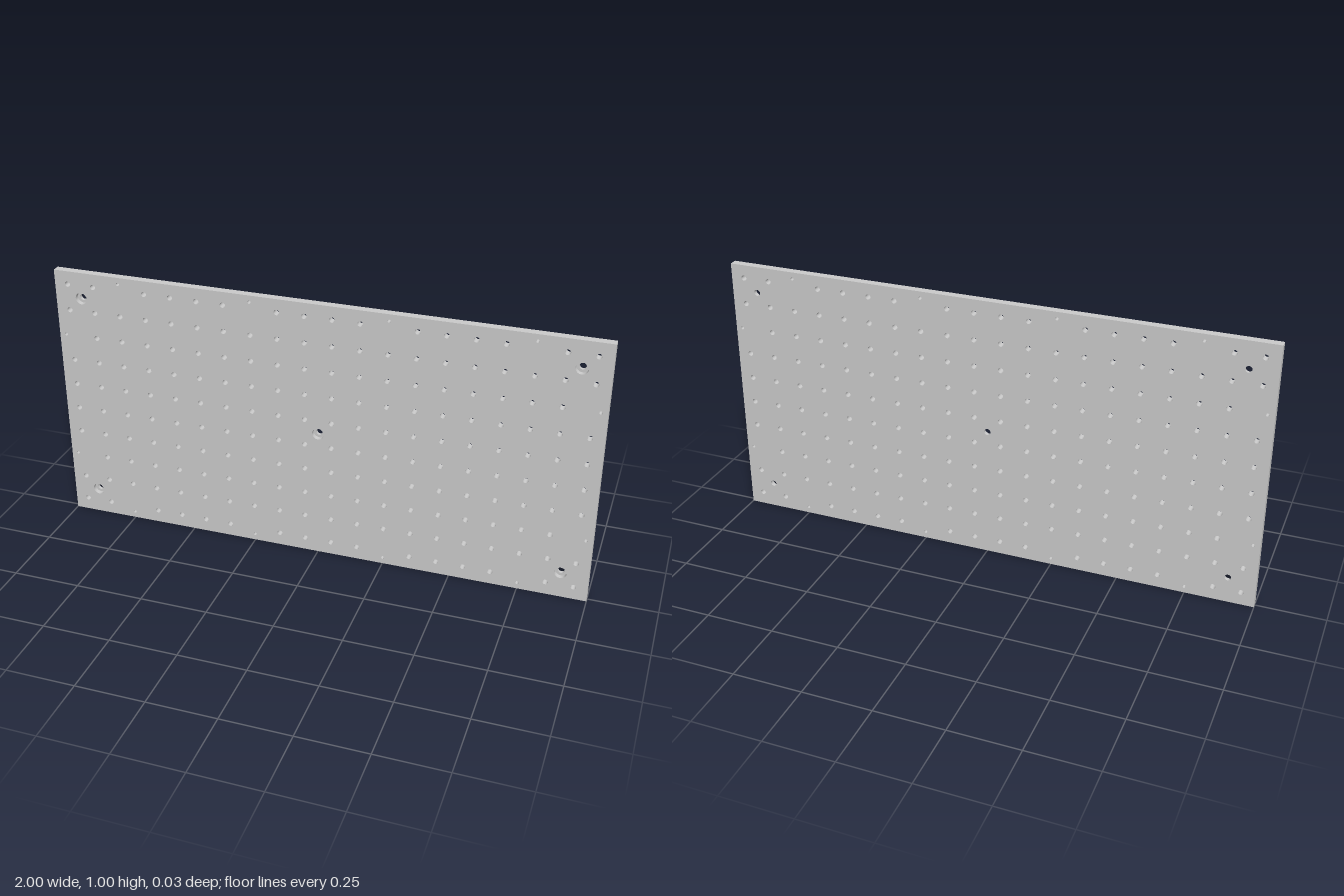
import * as THREE from 'three';
import { mergeGeometries } from 'three/addons/utils/BufferGeometryUtils.js';

const W = 2, H = 1, T = 0.03;         // plate size
const SEG = 20;                       // sides per hole
const R_GRID = 0.01, R_SMALL = 0.006, R_BOLT = 0.012, R_BORE = 0.022;
const BORE_DEPTH = 0.018;

// Hole positions: small edge holes replace the grid hole next to them
function holeLayout() {
  const grid = [], small = [];
  for (let i = 0; i < 20; i++) {
    for (let j = 0; j < 10; j++) {
      const x = -0.95 + i * 0.1, y = 0.05 + j * 0.1;
      const onTopOrBottom = (j === 0 || j === 9) && [2, 7, 12, 17].includes(i);
      const onSide = (i === 0 || i === 19) && [2, 7].includes(j);
      if (onTopOrBottom) small.push([x, j ? 0.975 : 0.025]);
      else if (onSide) small.push([i ? 0.975 : -0.975, y]);
      else grid.push([x, y]);
    }
  }
  const bolts = [[0, 0.5], [-0.9, 0.1], [0.9, 0.1], [-0.9, 0.9], [0.9, 0.9]];
  return { grid, small, bolts };
}

// Flat plate outline pierced by groups of [centres, radius]
function piercedFace(groups) {
  const shape = new THREE.Shape([[-1, 0], [1, 0], [1, H], [-1, H]].map(p => new THREE.Vector2(...p)));
  for (const [centres, r] of groups) {
    for (const [cx, cy] of centres) {
      const ring = [];
      for (let k = 0; k < SEG; k++) {
        const a = -k / SEG * Math.PI * 2;
        ring.push(new THREE.Vector2(cx + r * Math.cos(a), cy + r * Math.sin(a)));
      }
      shape.holes.push(new THREE.Path(ring));
    }
  }
  return new THREE.ShapeGeometry(shape);
}

// Open tubes lining the holes between two depths
function holeWalls(centres, r, z0, z1) {
  return mergeGeometries(centres.map(([x, y]) =>
    new THREE.CylinderGeometry(r, r, z1 - z0, SEG, 1, true)
      .rotateX(Math.PI / 2).translate(x, y, (z0 + z1) / 2)));
}

export function createModel() {
  const group = new THREE.Group();
  const outer = new THREE.MeshStandardMaterial({ color: 0xcccccc });
  const inner = new THREE.MeshStandardMaterial({ color: 0xcccccc, side: THREE.BackSide });
  const add = (name, geometry, material = outer) => {
    const mesh = new THREE.Mesh(geometry, material);
    mesh.name = name;
    group.add(mesh);
  };
  const { grid, small, bolts } = holeLayout();
  const front = T / 2, back = -T / 2, floor = front - BORE_DEPTH;

  // Front and back faces of the plate
  add('frontFace', piercedFace([[grid, R_GRID], [small, R_SMALL], [bolts, R_BORE]]).translate(0, 0, front));
  add('backFace', piercedFace([[grid, R_GRID], [small, R_SMALL], [bolts, R_BOLT]])
    .rotateY(Math.PI).translate(0, 0, back));

  // Four edges around the plate
  add('plateEdges', mergeGeometries([
    new THREE.PlaneGeometry(W, T).rotateX(-Math.PI / 2).translate(0, H, 0),
    new THREE.PlaneGeometry(W, T).rotateX(Math.PI / 2),
    new THREE.PlaneGeometry(T, H).rotateY(Math.PI / 2).translate(W / 2, H / 2, 0),
    new THREE.PlaneGeometry(T, H).rotateY(-Math.PI / 2).translate(-W / 2, H / 2, 0),
  ]));

  // Through holes
  add('gridHoles', holeWalls(grid, R_GRID, back, front), inner);
  add('edgeHoles', holeWalls(small, R_SMALL, back, front), inner);

  // Counterbored mounting holes, recessed from the front
  add('mountingHoles', holeWalls(bolts, R_BOLT, back, floor), inner);
  add('counterbores', holeWalls(bolts, R_BORE, floor, front), inner);
  add('counterboreFloors', mergeGeometries(bolts.map(([x, y]) =>
    new THREE.RingGeometry(R_BOLT, R_BORE, SEG).translate(x, y, floor))));

  return group;
}
